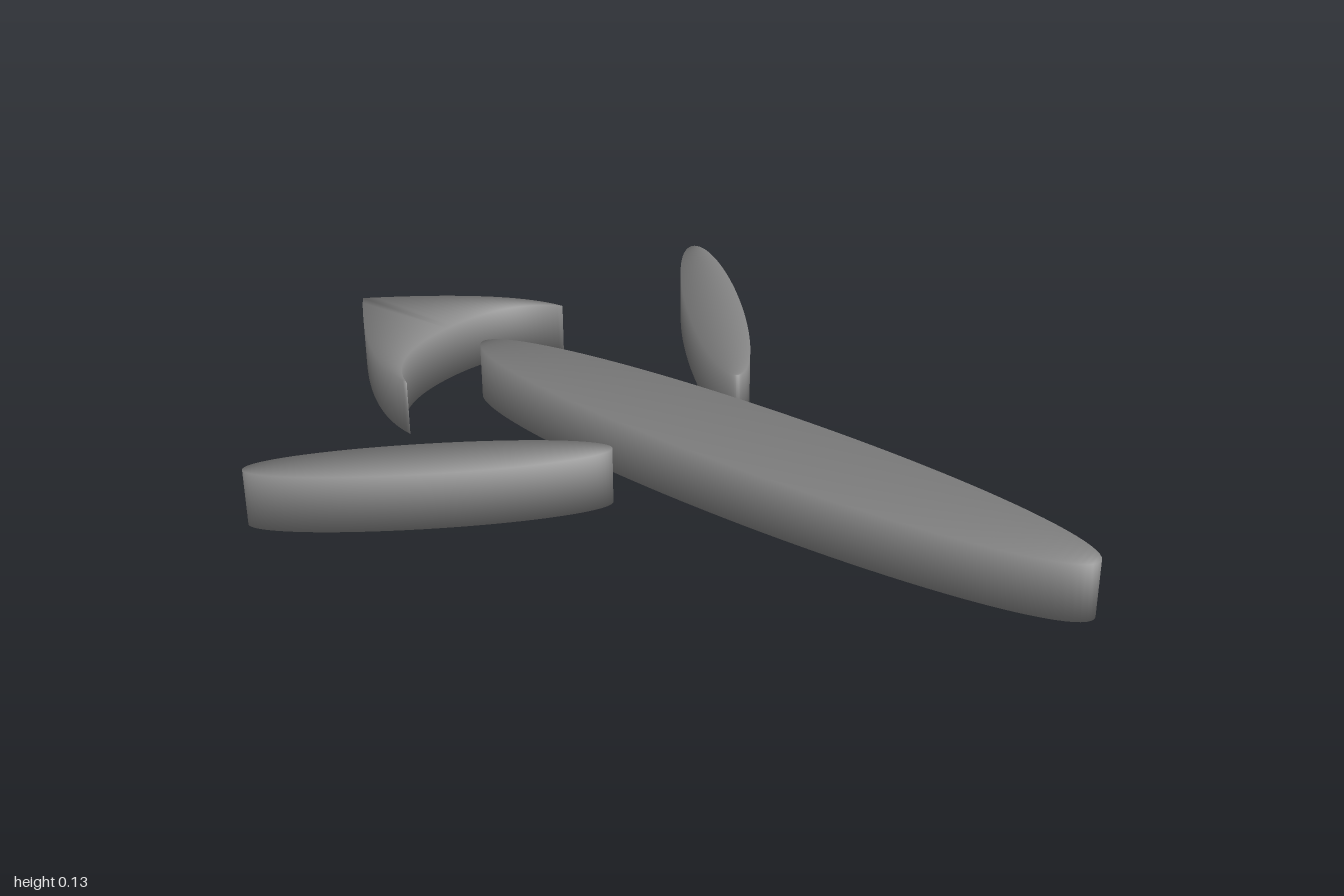
import * as THREE from 'three';
import { mergeVertices } from 'three/addons/utils/BufferGeometryUtils.js';

const HEIGHT = 0.13;
const STEPS = 48;
const material = new THREE.MeshStandardMaterial({ color: 0x888888 });

// Soft normals: each corner counts by its angle, so caps and walls blend evenly
function softenNormals(geometry) {
  const position = geometry.attributes.position;
  const index = geometry.index;
  const normals = Array.from({ length: position.count }, () => new THREE.Vector3());
  for (let i = 0; i < index.count; i += 3) {
    const ids = [0, 1, 2].map((k) => index.getX(i + k));
    const p = ids.map((id) => new THREE.Vector3().fromBufferAttribute(position, id));
    const face = new THREE.Triangle(...p).getNormal(new THREE.Vector3());
    ids.forEach((id, k) => {
      const next = p[(k + 1) % 3].clone().sub(p[k]);
      const last = p[(k + 2) % 3].clone().sub(p[k]);
      normals[id].addScaledVector(face, next.angleTo(last));
    });
  }
  const values = normals.flatMap((n) => n.normalize().toArray());
  geometry.setAttribute('normal', new THREE.Float32BufferAttribute(values, 3));
}

// Upright slab between two plan edges (x, z) that meet at both ends;
// edgeA lies to the left of the direction of travel, seen from above
function slab(name, edgeA, edgeB) {
  const points = [];
  const faces = [];
  edgeA.forEach((a, i) => {
    const b = edgeB[i];
    points.push(a.x, HEIGHT, a.y, b.x, HEIGHT, b.y, b.x, 0, b.y, a.x, 0, a.y);
    if (i === 0) return;
    const from = (i - 1) * 4;
    const to = i * 4;
    for (let k = 0; k < 4; k++) {
      const n = (k + 1) % 4;
      faces.push(from + k, from + n, to + n, from + k, to + n, to + k);
    }
  });
  let geometry = new THREE.BufferGeometry();
  geometry.setAttribute('position', new THREE.Float32BufferAttribute(points, 3));
  geometry.setIndex(faces);
  geometry = mergeVertices(geometry, 1e-5);
  softenNormals(geometry);
  const mesh = new THREE.Mesh(geometry, material);
  mesh.name = name;
  return mesh;
}

// Elliptical slab whose long axis points along (ux, uz)
function ellipseSlab(name, x, z, length, width, ux, uz) {
  const edge = (side) => Array.from({ length: STEPS + 1 }, (_, i) => {
    const t = (Math.PI * i) / STEPS;
    const along = -Math.cos(t) * length;
    const across = Math.sin(t) * width * side;
    return new THREE.Vector2(x + ux * along + uz * across, z + uz * along - ux * across);
  });
  return slab(name, edge(1), edge(-1));
}

// Edge curving from the right wing tip to a middle point, then mirrored
function tailEdge(control, middleZ) {
  const half = new THREE.QuadraticBezierCurve(
    new THREE.Vector2(-0.265, -0.585), control, new THREE.Vector2(0, middleZ)
  ).getPoints(STEPS / 2);
  const mirrored = half.slice(0, -1).reverse().map((p) => new THREE.Vector2(-p.x, p.y));
  return [...half, ...mirrored];
}

export function createModel() {
  const model = new THREE.Group();
  model.name = 'model';

  // Long central body
  model.add(ellipseSlab('body', 0, 0.2, 0.8, 0.13, 0, -1));

  // Slanted side fins, one per side
  for (const side of [1, -1]) {
    const name = side > 0 ? 'leftFin' : 'rightFin';
    model.add(ellipseSlab(name, side * 0.49, -0.295, 0.383, 0.067, side * Math.SQRT1_2, -Math.SQRT1_2));
  }

  // Crescent-backed arrowhead at the rear
  const outer = tailEdge(new THREE.Vector2(-0.25, -0.75), -1);
  const inner = tailEdge(new THREE.Vector2(-0.2, -0.715), -0.715);
  model.add(slab('tail', outer, inner));

  return model;
}
